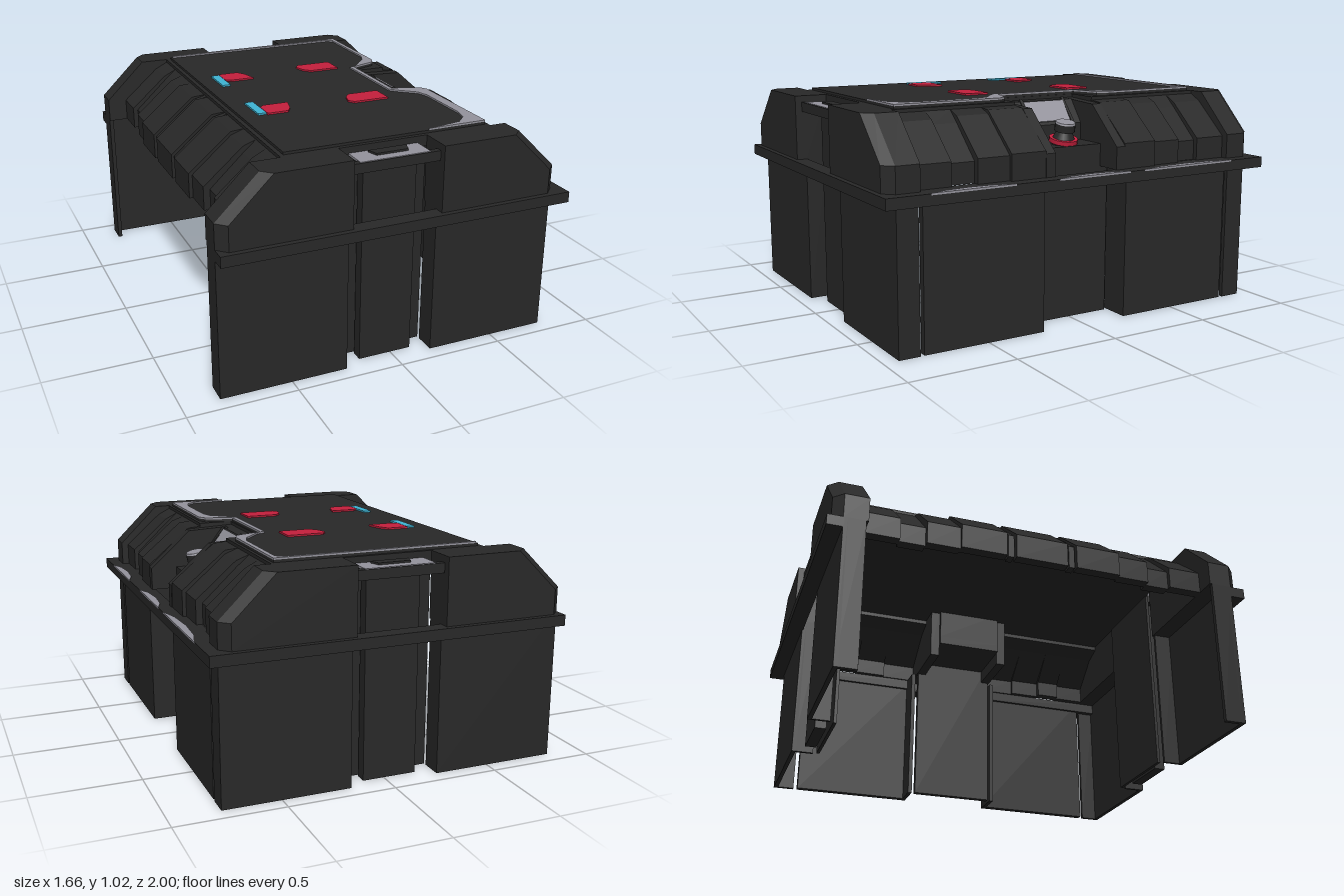
import * as THREE from 'three';

const mat = (name, color) => {
  const m = new THREE.MeshStandardMaterial({ color });
  m.name = name;
  return m;
};

export function createModel() {
  const dark = mat('charcoal shell', 0x282828);
  const grey = mat('worn grey', 0x94939c);
  const red = mat('red', 0xc41f3c);
  const cyan = mat('cyan', 0x3fb4d4);
  const root = new THREE.Group();
  root.name = 'crate';

  const add = (name, geo, material = dark) => {
    const m = new THREE.Mesh(geo, material);
    m.name = name;
    root.add(m);
    return m;
  };
  // box from its limits, in any order
  const box = (name, x0, x1, y0, y1, z0, z1, material) => {
    const g = new THREE.BoxGeometry(Math.abs(x1 - x0), Math.abs(y1 - y0), Math.abs(z1 - z0));
    g.translate((x0 + x1) / 2, (y0 + y1) / 2, (z0 + z1) / 2);
    return add(name, g, material);
  };
  const shapeOf = (pts) => new THREE.Shape(pts.map(([a, b]) => new THREE.Vector2(a, b)));
  // x-y profile pulled along z
  const alongZ = (pts, z0, z1) => {
    const g = new THREE.ExtrudeGeometry(shapeOf(pts), { depth: Math.abs(z1 - z0), bevelEnabled: false });
    return g.translate(0, 0, Math.min(z0, z1));
  };
  // x-z outline raised from y0 to y1
  const plate = (name, pts, y0, y1, material) => {
    const g = new THREE.ExtrudeGeometry(shapeOf(pts.map(([x, z]) => [x, -z])), { depth: y1 - y0, bevelEnabled: false });
    return add(name, g.rotateX(-Math.PI / 2).translate(0, y0, 0), material);
  };

  // end walls, end caps and carry handles
  for (const s of [1, -1]) {
    box('endPanel', -0.83, -0.24, 0, 0.695, s * 0.91, s * 0.93);
    box('endPanel', 0.18, 0.77, 0, 0.695, s * 0.91, s * 0.93);
    box('endGrooveFloor', -0.24, 0.18, 0, 0.93, s * 0.797, s * 0.812);
    box('endCentreRib', -0.155, 0.1, 0, 0.93, s * 0.828, s * 0.88);
    box('grooveSide', -0.255, -0.24, 0, 0.695, s * 0.828, s * 0.93);
    box('grooveSide', 0.18, 0.195, 0, 0.695, s * 0.828, s * 0.93);
    box('openSideLip', -0.83, -0.81, 0, 0.695, s * 0.83, s * 0.93);
    box('cornerPost', 0.75, 0.77, 0, 0.695, s * 0.83, s * 0.93);
    box('endFlange', -0.83, 0.825, 0.645, 0.695, s * 0.925, s);

    const halves = [
      [[-0.83, 0.695], [-0.83, 0.81], [-0.635, 1], [-0.24, 1], [-0.24, 0.695]],
      [[0.18, 0.695], [0.18, 1], [0.575, 1], [0.77, 0.81], [0.77, 0.695]],
    ];
    for (const pts of halves) {
      add('endCap', alongZ(pts, s * 0.82, s * 0.93));
      // outer layer tapers in at its sloping corners
      const g = alongZ(pts, s * 0.93, s * 0.975);
      const p = g.attributes.position;
      for (let i = 0; i < p.count; i++) {
        const x = p.getX(i);
        if (Math.abs(p.getZ(i)) > 0.95 && Math.abs(x) > 0.5) p.setX(i, x - Math.sign(x) * 0.045);
      }
      g.computeVertexNormals();
      add('endCapFace', g);
    }
    box('handleBar', -0.237, 0.178, 0.925, 0.97, s * 0.915, s * 0.945);
    box('handleBase', -0.197, 0.132, 0.925, 0.965, s * 0.82, s * 0.915);
    box('handlePaint', -0.197, 0.132, 0.965, 0.973, s * 0.825, s * 0.94, grey);
    plate('handleGrip', [[-0.115, s * 0.845], [0.065, s * 0.845], [0.05, s * 0.895], [-0.1, s * 0.895]], 0.965, 0.982);
  }

  // button-side wall with a recessed bay in the middle
  for (const s of [1, -1]) {
    box('sidePanel', 0.735, 0.768, 0, 0.695, s * 0.22, s * 0.811);
    box('bayReturn', 0.62, 0.768, 0, 0.695, s * 0.22, s * 0.24);
    box('flangeInner', 0.72, 0.75, 0.645, 0.695, s * 0.22, s * 0.93);
    add('bayCheek', alongZ([[0.34, 0.695], [0.34, 0.985], [0.57, 0.975], [0.765, 0.8], [0.765, 0.695]], s * 0.165, s * 0.212));
  }
  box('sideFlange', 0.748, 0.825, 0.645, 0.695, -0.93, 0.93);
  box('bayWall', 0.61, 0.64, 0, 0.8, -0.205, 0.205);
  box('bayFloor', 0.32, 0.64, 0.76, 0.8, -0.165, 0.165);

  // sloping ribbed shoulders: [z start, z end, growth]
  const ribs = [[0.66, 0.82, 0], [0.54, 0.66, -0.022], [0.385, 0.54, 0.008], [0.17, 0.385, 0.025]];
  const shoulder = (side, z0, z1, d) => {
    const X = 0.737 + d, t = 0.05;
    const pts = [[0.45, 0.985], [0.5, 0.985], [0.56, 0.955 + d], [X, 0.8 + d * 0.5], [X, 0.695],
      [X - t, 0.695], [X - t, 0.775], [0.54, 0.9], [0.45, 0.93]];
    add('shoulderRib', alongZ(pts.map(([x, y]) => [side * x, y]), z0, z1));
  };
  for (const [a, b, d] of ribs) {
    for (const s of [1, -1]) {
      shoulder(-1, s * a, s * b, d);
      shoulder(1, s * Math.max(a, 0.212), s * b, d);
    }
  }
  // middle rib of the open side, with narrow strips beside it
  shoulder(-1, -0.125, 0.125, 0.025);
  for (const s of [1, -1]) shoulder(-1, s * 0.134, s * 0.162, 0.015);

  // deck and raised lid, both notched round the bay
  plate('deck', [[-0.5, -0.82], [0.5, -0.82], [0.5, -0.21], [0.34, -0.21], [0.34, 0.21], [0.5, 0.21], [0.5, 0.82], [-0.5, 0.82]], 0.95, 1);
  const edge = [[0.485, -0.805], [0.485, -0.31], [0.465, -0.265], [0.335, -0.22], [0.335, 0.2], [0.465, 0.245], [0.485, 0.28], [0.485, 0.8]];
  plate('lid', [[-0.48, -0.805], ...edge, [-0.48, 0.8]], 1, 1.012);
  plate('lidWornEdge', [[-0.47, -0.805], ...edge, [0.2, 0.8], [0.37, 0.77], [0.42, 0.72], [0.437, 0.65], [0.437, 0.37], [0.42, 0.31],
    [0.35, 0.25], [0.313, 0.21], [0.313, -0.22], [0.35, -0.23], [0.4, -0.29], [0.44, -0.335], [0.464, -0.4],
    [0.464, -0.76], [0.44, -0.785], [-0.47, -0.79]], 1.012, 1.02, grey);

  // lid markings, mirrored about the lid's middle
  for (const f of [(z) => z, (z) => -0.035 - z]) {
    const m = (pts) => pts.map(([x, z]) => [x, f(z)]);
    plate('redMark', m([[-0.36, -0.36], [-0.26, -0.36], [-0.235, -0.32], [-0.215, -0.24], [-0.335, -0.24], [-0.36, -0.26]]), 1.012, 1.02, red);
    plate('redMark', m([[0.075, -0.36], [0.25, -0.36], [0.25, -0.24], [0.1, -0.24], [0.07, -0.275], [0.055, -0.33]]), 1.012, 1.02, red);
    plate('cyanMark', m([[-0.402, -0.35], [-0.362, -0.35], [-0.362, -0.17], [-0.402, -0.17]]), 1.012, 1.02, cyan);
  }

  // steep control panel in the bay
  add('controlBlock', alongZ([[0.32, 0.8], [0.32, 0.985], [0.4, 0.985], [0.48, 0.88], [0.48, 0.8]], -0.165, 0.165));
  add('controlPanel', alongZ([[0.404, 0.98], [0.41, 0.984], [0.476, 0.897], [0.47, 0.893]], -0.108, 0.108), grey);
  for (const s of [1, -1]) {
    add('controlFrame', alongZ([[0.385, 0.985], [0.395, 0.997], [0.495, 0.885], [0.48, 0.88]], s * 0.108, s * 0.122));
  }

  // push button, leaning outward
  const disc = (name, r0, r1, y0, y1, material) => {
    const g = new THREE.CylinderGeometry(r1, r0, y1 - y0, 20).translate(0, (y0 + y1) / 2, 0);
    add(name, g.rotateZ(-0.2).translate(0.568, 0.8, -0.005), material);
  };
  disc('buttonBase', 0.05, 0.05, -0.01, 0.015);
  disc('buttonRing', 0.066, 0.066, 0.012, 0.032, red);
  disc('buttonStem', 0.05, 0.035, 0.032, 0.065);
  disc('buttonCap', 0.047, 0.047, 0.065, 0.1);
  disc('buttonTop', 0.047, 0.044, 0.1, 0.108, grey);

  // worn patches on the edge of the side flange
  for (const [c, h] of [[-0.54, 0.26], [-0.01, 0.19], [0.6, 0.2]]) {
    plate('flangeWornPatch', [[0.827, c - h], [0.827, c + h], [0.8, c + h * 0.6], [0.79, c], [0.8, c - h * 0.6]], 0.689, 0.698, grey);
  }
  return root;
}
